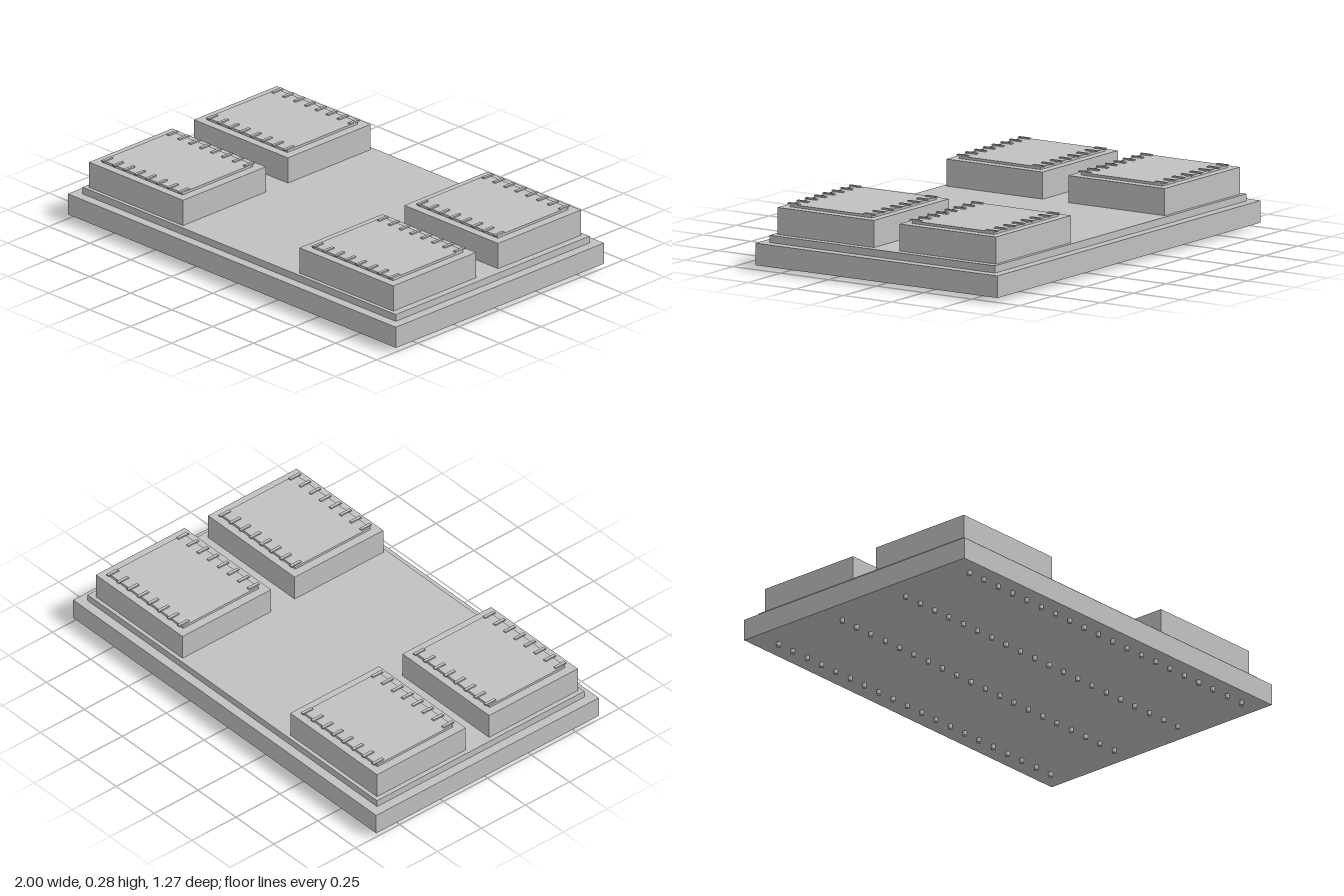
import * as THREE from 'three';

export function createModel() {
  const model = new THREE.Group();
  model.name = 'steppedBoard';
  const grey = new THREE.MeshStandardMaterial({ color: 0xc0c0c0 });
  grey.name = 'light grey';

  // Box given by its extents on each axis
  const box = (parent, name, [x0, x1], [y0, y1], [z0, z1]) => {
    const mesh = new THREE.Mesh(new THREE.BoxGeometry(x1 - x0, y1 - y0, z1 - z0), grey);
    mesh.position.set((x0 + x1) / 2, (y0 + y1) / 2, (z0 + z1) / 2);
    mesh.name = name;
    parent.add(mesh);
  };

  // Stepped base
  box(model, 'baseSlab', [-1, 1], [0.02, 0.117], [-0.633, 0.633]);
  box(model, 'upperStep', [-0.955, 0.955], [0.117, 0.149], [-0.589, 0.589]);

  // Four raised blocks, each with a thin plate and two rows of contact fingers
  for (const cx of [-0.647, 0.636]) {
    for (const side of [-1, 1]) {
      const module = new THREE.Group();
      module.name = `${side > 0 ? 'front' : 'back'}${cx > 0 ? 'Left' : 'Right'}Module`;
      module.position.set(cx, 0, side * 0.319);
      box(module, 'block', [-0.286, 0.286], [0.149, 0.268], [-0.252, 0.252]);
      box(module, 'topPlate', [-0.245, 0.245], [0.268, 0.279], [-0.214, 0.214]);
      for (let i = 0; i < 8; i++) {
        const x = -0.23 + i * 0.0667;
        for (const s of [-1, 1]) {
          const z = [s * 0.17, s * 0.228].sort((a, b) => a - b);
          box(module, 'contactFinger', [x - 0.007, x + 0.007], [0.279, 0.285], z);
        }
      }
      model.add(module);
    }
  }

  // Grid of short round pins under the base
  const pinGeometry = new THREE.CylinderGeometry(0.01, 0.01, 0.02, 16);
  for (let row = 0; row < 4; row++) {
    for (let i = 0; i < 20; i++) {
      const pin = new THREE.Mesh(pinGeometry, grey);
      pin.name = 'pin';
      pin.position.set(-0.885 + i * 0.0931, 0.01, 0.561 - row * 0.366);
      model.add(pin);
    }
  }
  return model;
}
